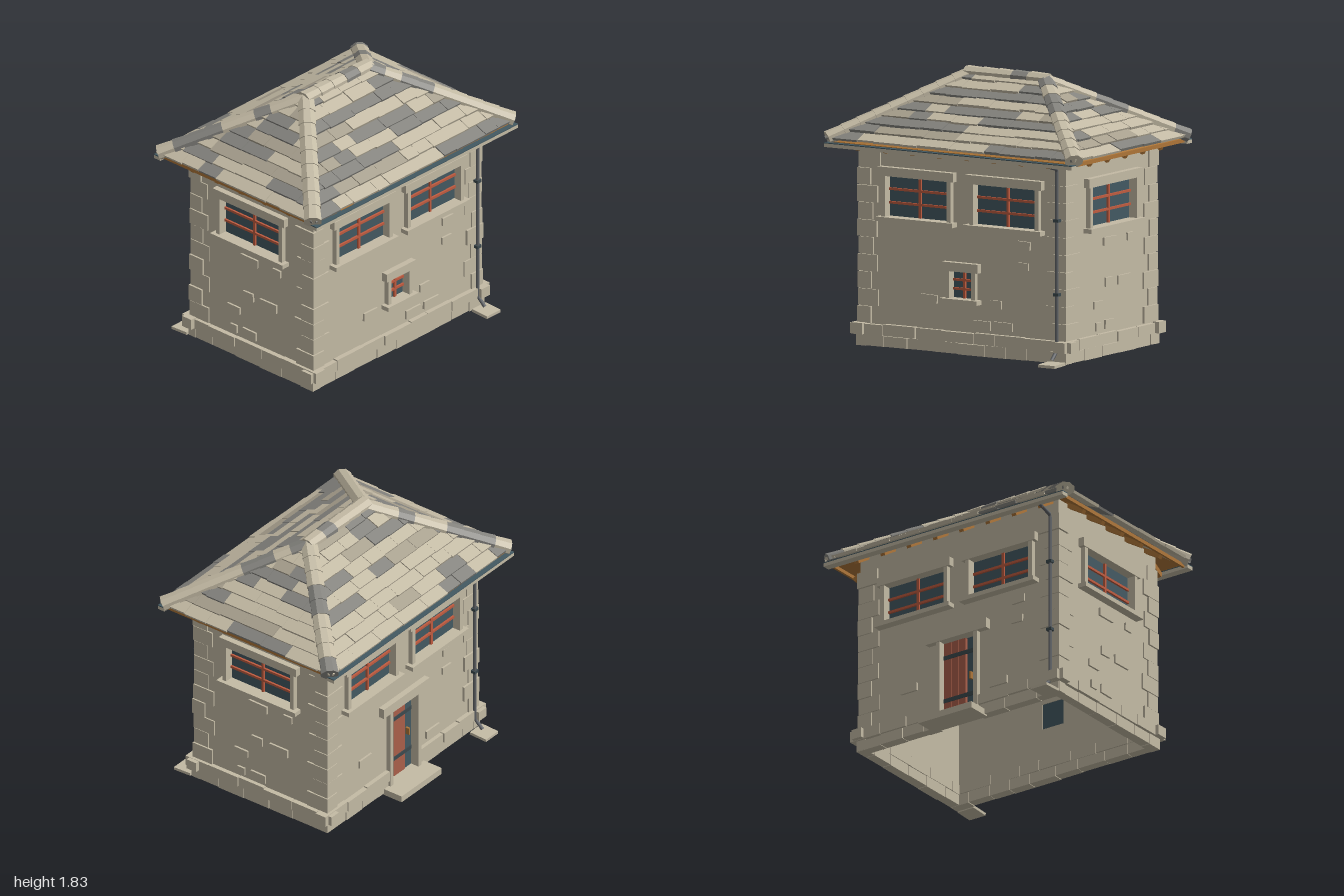
import * as THREE from 'three';

const mat = (name, color, side = THREE.FrontSide) => {
  const m = new THREE.MeshStandardMaterial({ color, side });
  m.name = name;
  return m;
};
const M = {
  stone: mat('stone', 0xc4bba5),
  tan: mat('tanSlate', 0xc3baa4),
  mid: mat('taupeSlate', 0xa8a08e),
  grey: mat('greySlate', 0x84837e),
  wood: mat('roofWood', 0xae7638, THREE.DoubleSide),
  glass: mat('glass', 0x435962, THREE.DoubleSide),
  frame: mat('redFrame', 0xc05c40),
  door: mat('doorPlank', 0xab5f4a),
  metal: mat('metal', 0x3d4a4f),
  pipe: mat('pipeGrey', 0x63666a),
};
M.tan.flatShading = M.mid.flatShading = M.grey.flatShading = true;

let seed = 11;
const rnd = () => (seed = (seed * 16807) % 2147483647) / 2147483647;
const jit = (a) => (rnd() - 0.5) * 2 * a;

function add(parent, name, geo, material, x = 0, y = 0, z = 0) {
  const m = new THREE.Mesh(geo, material);
  m.name = name;
  m.position.set(x, y, z);
  parent.add(m);
  return m;
}
// Box given by its limits on each axis
const block = (p, name, material, x0, x1, y0, y1, z0, z1) =>
  add(p, name, new THREE.BoxGeometry(x1 - x0, y1 - y0, z1 - z0), material, (x0 + x1) / 2, (y0 + y1) / 2, (z0 + z1) / 2);
const group = (parent, name, rotY = 0) => {
  const g = new THREE.Group();
  g.name = name;
  g.rotation.y = rotY;
  parent.add(g);
  return g;
};
const polygon = (pts) => new THREE.Shape(pts.map(([x, y]) => new THREE.Vector2(x, y)));

// Stone surround: jambs and lintel
function surround(p, x, w, y0, y1, over, lintelH) {
  const h = w / 2;
  for (const s of [-1, 1]) {
    const a = x + s * h, b = x + s * (h + 0.03);
    block(p, 'jamb', M.stone, Math.min(a, b), Math.max(a, b), y0, y1, -0.02, 0.035);
  }
  block(p, 'lintel', M.stone, x - h - over, x + h + over, y1, y1 + lintelH, -0.02, 0.042);
}

function windowUnit(p, x, w, y0, y1) {
  const g = group(p, 'window');
  const h = w / 2;
  surround(g, x, w, y0, y1, 0.055, 0.06);
  block(g, 'sill', M.stone, x - h - 0.06, x + h + 0.06, y0 - 0.03, y0, -0.03, 0.062);
  block(g, 'glass', M.glass, x - h, x + h, y0, y1, -0.034, -0.026);
  const bar = (x0, x1, a, b) => block(g, 'glazingBar', M.frame, x0, x1, a, b, -0.03, -0.012);
  bar(x - 0.009, x + 0.009, y0, y1);
  for (const k of [1, 2]) {
    const y = y0 + ((y1 - y0) * k) / 3;
    bar(x - h, x + h, y - 0.008, y + 0.008);
  }
}

function doorUnit(p) {
  const g = group(p, 'door');
  surround(g, 0, 0.27, 0.045, 0.62, 0.11, 0.07);
  block(g, 'doorPanel', M.glass, -0.135, 0.135, 0.045, 0.62, -0.036, -0.028);
  for (let i = 0; i < 3; i++) {
    const x = -0.132 + i * 0.06;
    block(g, 'doorPlank', M.door, x, x + 0.056, 0.06, 0.615, -0.03, -0.008);
  }
  for (const y of [0.2, 0.51]) block(g, 'hingeStrap', M.metal, -0.13, 0.11, y - 0.014, y + 0.014, -0.01, -0.003);
  block(g, 'handle', M.wood, 0.075, 0.09, 0.31, 0.36, -0.03, 0);
  block(g, 'doorStep', M.stone, -0.215, 0.215, 0, 0.045, -0.01, 0.165);
}

// One side of the house; local z points outwards, z = 0 is the wall face
function wallSide(root, name, rotY, dist, half, openings, hasDoor, stones) {
  const side = group(group(root, name, rotY), name + 'Face');
  side.position.z = dist;
  const shape = polygon([[-half, 0.015], [half, 0.015], [half, 1.41], [-half, 1.41]]);
  const holes = openings.map(([x, w, y0, y1]) => [x - w / 2, x + w / 2, y0, y1]);
  if (hasDoor) holes.push([-0.135, 0.135, 0.045, 0.62]);
  for (const [a, b, c, d] of holes) shape.holes.push(polygon([[a, c], [a, d], [b, d], [b, c]]));
  add(side, 'wall', new THREE.ExtrudeGeometry(shape, { depth: 0.04, bevelEnabled: false }), M.stone, 0, 0, -0.04);
  openings.forEach((o) => windowUnit(side, ...o));
  if (hasDoor) doorUnit(side);
  for (const [x, y, w, h] of stones)
    block(side, 'wallStone', M.stone, x - w / 2, x + w / 2, y - h / 2, y + h / 2, -0.01, 0.014).rotation.z = jit(0.03);
  // Two plinth courses of uneven blocks, leaving the doorway free
  const runs = (end) => (hasDoor ? [[-end, -0.165], [0.165, end]] : [[-end, end]]);
  [[0.012, 0.085, half + 0.02, 0.018], [0.088, 0.16, half + 0.062, 0.032]].forEach(([y0, y1, reach, out]) => {
    for (const [start, end] of runs(reach)) {
      let x = start;
      while (x < end - 0.01) {
        let nx = x + 0.16 + rnd() * 0.1;
        if (end - nx < 0.1) nx = end;
        block(side, 'plinthStone', M.stone, x + 0.002, nx - 0.002, y0 + jit(0.003), y1 + jit(0.004), -0.05, out + jit(0.005));
        x = nx;
      }
    }
  });
}

// Roof slope: rows of overlapping slates with raised lower edges, trimmed along the hips
const EAVE = 1.37, RIDGE = 1.785, ROWS = 9;
const slateColor = () => { const k = rnd(); return k < 0.5 ? M.tan : k < 0.63 ? M.mid : M.grey; };
function roofSlope(root, name, rotY, run, dist, hw0, hw1) {
  const rise = RIDGE - EAVE, len = Math.hypot(run, rise), pitch = Math.atan2(rise, run);
  const slope = group(group(root, name, rotY), name + 'Slates');
  slope.position.set(0, EAVE, dist);
  slope.rotation.x = pitch - Math.PI / 2;
  const hw = (s) => hw0 + ((hw1 - hw0) * Math.min(s, len)) / len;
  const dh = len / ROWS;
  for (let r = 0; r < ROWS; r++) {
    const s0 = r * dh, s1 = Math.min(len, s0 + dh * 1.25), w0 = hw(s0), w1 = hw(s1);
    let x = -w0 - rnd() * 0.1, color = slateColor();
    while (x < w0) {
      const nx = x + 0.11 + rnd() * 0.18, drop = rnd() * 0.01;
      const a = Math.max(x, -w0), b = Math.min(nx - 0.003, w0);
      const ta = Math.min(Math.max(a, -w1), w1), tb = Math.max(Math.min(b, w1), -w1);
      if (b - a > 0.01) {
        const pts = [[a, -drop], [b, -drop], [tb, s1 - s0]];
        if (tb - ta > 0.001) pts.push([ta, s1 - s0]);
        const geo = new THREE.ExtrudeGeometry(polygon(pts), { depth: 0.014 + rnd() * 0.007, bevelEnabled: false });
        add(slope, 'slate', geo, color, 0, s0, 0.014).rotation.x = -0.15;
      }
      if (rnd() < 0.6) color = slateColor();
      x = nx;
    }
  }
}

// Run of faceted cap tiles between two points
function capRun(root, name, from, to, count, greyTiles) {
  const g = group(root, name);
  const dir = to.clone().sub(from), step = dir.length() / count;
  const q = new THREE.Quaternion().setFromRotationMatrix(new THREE.Matrix4().lookAt(to, from, new THREE.Vector3(0, 1, 0)));
  for (let i = 0; i < count; i++) {
    const geo = new THREE.CylinderGeometry(0.05, 0.056, step * 1.12, 8);
    geo.rotateY(Math.PI / 8).rotateX(Math.PI / 2).scale(1.12, 0.85, 1);
    const m = add(g, 'capTile', geo, greyTiles.includes(i) ? M.grey : M.tan);
    m.position.copy(from).addScaledVector(dir, (i + 0.5) / count);
    m.quaternion.copy(q);
  }
}

// Sloping rafter tails under the eaves of one side
function rafters(root, rotY, dist, xs) {
  const g = group(root, 'rafters', rotY);
  for (const x of xs) add(g, 'rafterTail', new THREE.BoxGeometry(0.034, 0.032, 0.16), M.wood, x, 1.37, dist).rotation.x = 0.54;
}

export function createModel() {
  const root = new THREE.Group();
  root.name = 'stoneHouse';

  // Walls, windows, door and scattered stones
  const upper = [[-0.345, 0.48, 0.88, 1.15], [0.34, 0.48, 0.88, 1.15]];
  const shared = [[0.48, 0.77, 0.1, 0.055], [0.47, 0.63, 0.09, 0.05], [0.32, 0.22, 0.14, 0.055]];
  const frontStones = [[-0.26, 0.36, 0.13, 0.055], [0.26, 0.36, 0.09, 0.055], [0.15, 0.215, 0.14, 0.06]];
  const sideStones = [[0.225, 0.765, 0.07, 0.05], [-0.02, 0.765, 0.15, 0.055], [-0.03, 0.495, 0.09, 0.06],
    [0.15, 0.49, 0.15, 0.06], [-0.16, 0.355, 0.11, 0.05], [-0.02, 0.215, 0.12, 0.06], [-0.16, 0.21, 0.06, 0.055]];
  const sideWin = [[0, 0.53, 0.88, 1.15]];
  wallSide(root, 'front', 0, 0.545, 0.8, [...upper, [0, 0.17, 0.38, 0.56]], false, [...shared, ...frontStones]);
  wallSide(root, 'back', Math.PI, 0.545, 0.8, upper, true, [...shared, [-0.4, 0.36, 0.13, 0.055]]);
  wallSide(root, 'right', Math.PI / 2, 0.8, 0.545, sideWin, false, sideStones);
  wallSide(root, 'left', -Math.PI / 2, 0.8, 0.545, sideWin, false, sideStones);

  // Corner stones, alternately long and short, as L-shaped blocks
  for (const sx of [-1, 1]) for (const sz of [-1, 1]) for (let i = 0; i < 10; i++) {
    const lx = (i % 2 ? 0.16 : 0.11) + jit(0.012), lz = (i % 2 ? 0.11 : 0.16) + jit(0.012);
    const out = 0.012 + jit(0.005), t = 0.03, y = 0.217 + i * 0.1145;
    const X = 0.8 + out, Z = 0.545 + out;
    add(root, 'cornerStone', new THREE.BoxGeometry(lx, 0.11, t), M.stone, sx * (X - lx / 2), y, sz * (Z - t / 2));
    add(root, 'cornerStone', new THREE.BoxGeometry(t, 0.11, lz - t), M.stone, sx * (X - t / 2), y, sz * (Z - (lz + t) / 2));
  }

  // Wooden roof deck: a hipped shell, open underneath
  const deckH = RIDGE - EAVE;
  const box = new THREE.BoxGeometry(1.88, deckH, 1.38);
  box.setIndex([...box.index.array].filter((_, i) => i < 12 || i >= 24));
  const p = box.attributes.position;
  for (let i = 0; i < p.count; i++) if (p.getY(i) > 0) p.setXYZ(i, Math.sign(p.getX(i)) * 0.28, p.getY(i), 0);
  const deck = box.toNonIndexed();
  deck.computeVertexNormals();
  add(root, 'roofDeck', deck, M.wood, 0, 1.352 + deckH / 2, 0);

  // Eaves boards and rafter tails
  for (const s of [-1, 1]) {
    block(root, 'eavesBoard', M.wood, -0.94, 0.94, 1.338, 1.364, s * 0.683 - 0.008, s * 0.683 + 0.008);
    block(root, 'eavesBoard', M.wood, s * 0.932 - 0.008, s * 0.932 + 0.008, 1.338, 1.364, -0.69, 0.69);
  }
  const longXs = Array.from({ length: 8 }, (_, i) => -0.742 + i * 0.212);
  const shortXs = [-0.43, -0.215, 0, 0.215, 0.43];
  for (const r of [0, Math.PI]) {
    rafters(root, r, 0.605, longXs);
    rafters(root, r + Math.PI / 2, 0.855, shortXs);
  }

  // Slates and caps
  roofSlope(root, 'frontSlope', 0, 0.7, 0.7, 0.96, 0.29);
  roofSlope(root, 'backSlope', Math.PI, 0.7, 0.7, 0.96, 0.29);
  roofSlope(root, 'rightSlope', Math.PI / 2, 0.67, 0.96, 0.7, 0);
  roofSlope(root, 'leftSlope', -Math.PI / 2, 0.67, 0.96, 0.7, 0);
  const hips = [[-1, -1, [1, 2, 3, 6]], [1, -1, [0, 4, 5]], [-1, 1, []], [1, 1, [5, 6, 8]]];
  for (const [sx, sz, greys] of hips)
    capRun(root, 'hipCaps', new THREE.Vector3(sx * 0.958, 1.388, sz * 0.688), new THREE.Vector3(sx * 0.29, 1.783, 0), 9, greys);
  capRun(root, 'ridgeCaps', new THREE.Vector3(-0.31, 1.787, 0), new THREE.Vector3(0.31, 1.787, 0), 5, [3]);

  // Gutters, with a downpipe and splash stone at two opposite corners
  for (const rot of [0, Math.PI]) {
    const g = group(root, 'rainGoods', rot);
    block(g, 'gutter', M.stone, -0.965, 0.965, 1.33, 1.354, 0.675, 0.73);
    block(g, 'gutterLining', M.glass, -0.965, 0.965, 1.354, 1.36, 0.675, 0.73);
    const path = new THREE.CurvePath();
    const pts = [[1.335, 0.69], [1.3, 0.571], [0.1, 0.571], [0.04, 0.635]].map(([y, z]) => new THREE.Vector3(0.75, y, z));
    for (let i = 0; i < 3; i++) path.add(new THREE.LineCurve3(pts[i], pts[i + 1]));
    add(g, 'downpipe', new THREE.TubeGeometry(path, 60, 0.012, 8), M.pipe);
    for (const y of [0.47, 0.96]) block(g, 'pipeBracket', M.metal, 0.73, 0.77, y - 0.01, y + 0.01, 0.545, 0.587);
    block(g, 'splashStone', M.stone, 0.69, 0.82, 0.003, 0.022, 0.575, 0.71).rotation.x = 0.04;
  }
  return root;
}
